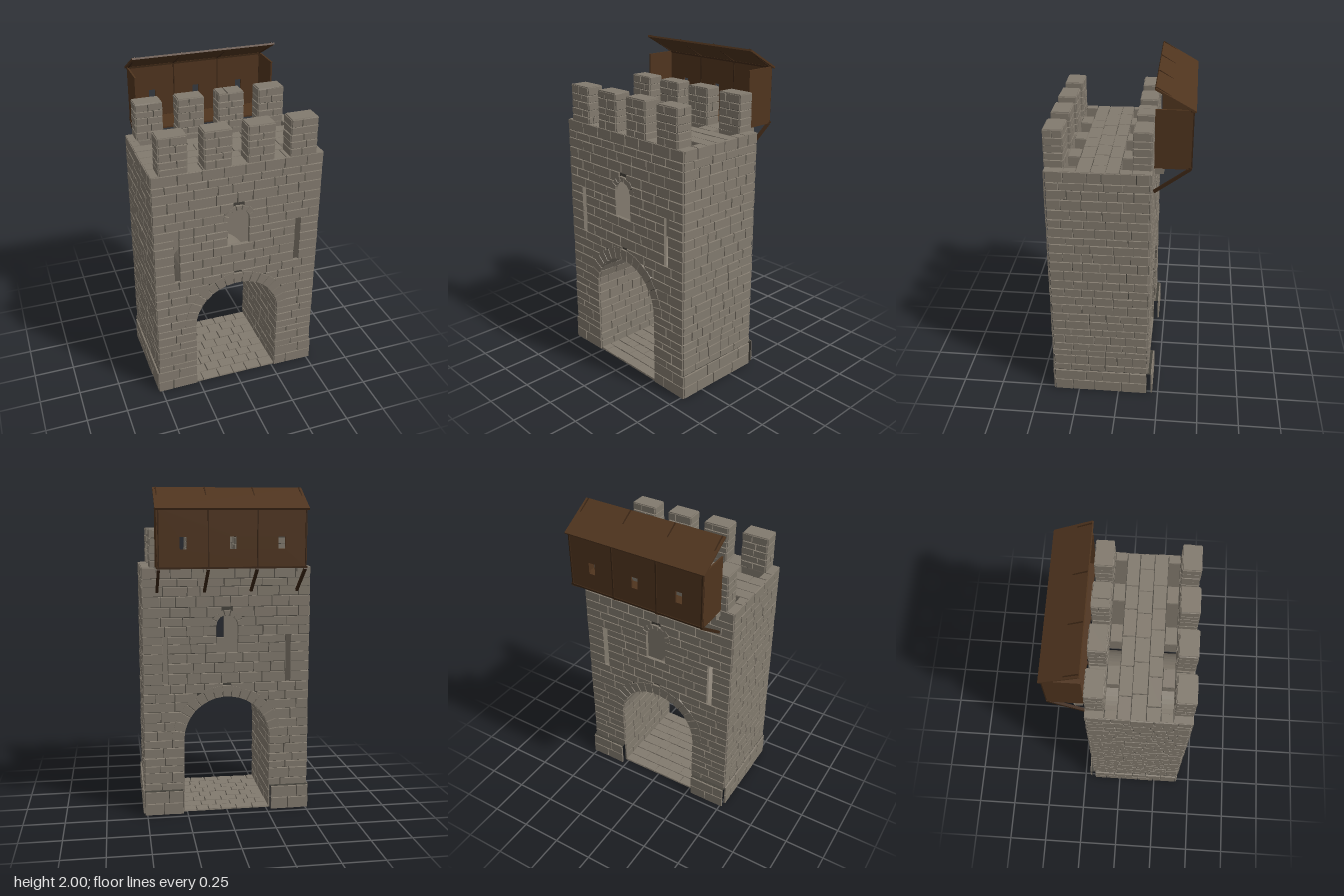
import * as THREE from 'three';

const V = (x, y, z) => new THREE.Vector3(x, y, z);
const UP = V(0, 1, 0);
let seed = 7;
const rnd = () => (seed = (seed * 16807) % 2147483647) / 2147483647;
const jit = (s) => (rnd() - 0.5) * s;
const mat = (name, color) => Object.assign(new THREE.MeshStandardMaterial({ color }), { name });

// Main dimensions
const FRONT = 0.4, BACK = -0.178, SIDE = 0.504, FOOT = 0.513, TOP = 1.53, BASE = 0.15, FOOT_BACK = -0.204;
const INNER = { x: 0.498, front: 0.392, back: -0.17 };
const SPRING = 0.47, R = 0.265, CORE_R = 0.275, SHELL_R = 0.283, RING = 0.34;
const WIN = { w: 0.065, sill: 1.01, spring: 1.175, ring: 0.105 };
const SLIT = { a: 0.362, b: 0.392, y0: 0.82, y1: 1.115 };
const MERLONS = [[-0.457, -0.31], [-0.198, -0.055], [0.055, 0.198], [0.31, 0.457]];

// One quad, corners counter-clockwise from outside
const quad = (out, a, b, c, d) => [a, b, c, a, c, d].forEach((p) => out.push(p.x, p.y, p.z));

// One bevelled stone standing on a quad
function stone(out, P, h = 0.01) {
  const n = P[1].clone().sub(P[0]).cross(P[3].clone().sub(P[0])).normalize();
  const inset = (g) => P.map((p, i) => {
    const to = (q) => q.clone().sub(p).normalize().multiplyScalar(g + jit(0.0024));
    return p.clone().add(to(P[(i + 1) % 4])).add(to(P[(i + 3) % 4]));
  });
  const b = inset(0.0013), t = inset(0.003);
  t.forEach((p) => p.addScaledVector(n, h));
  quad(out, ...t);
  for (let i = 0; i < 4; i++) quad(out, b[i], b[(i + 1) % 4], t[(i + 1) % 4], t[i]);
}

// Courses of stones on a mapped surface, skipping blocked intervals
function courses(out, map, rows, u0, u1, len = 0.12, blocked = () => []) {
  for (let r = 0; r + 1 < rows.length; r++) {
    const v0 = rows[r], v1 = rows[r + 1];
    let start = u0;
    for (const [a, b] of [...blocked((v0 + v1) / 2), [u1, u1]]) {
      const n = Math.max(1, Math.round((a - start) / len + jit(0.8)));
      const step = (a - start) / n, shift = n > 1 ? (r % 2 ? 0.22 : -0.22) * step : 0;
      const cut = Array.from({ length: n + 1 }, (_, i) =>
        i === 0 ? start : i === n ? a : start + i * step + shift + jit(0.4 * step));
      for (let i = 0; i < n; i++) {
        if (cut[i + 1] - cut[i] < 0.012) continue;
        stone(out, [map(cut[i], v0), map(cut[i + 1], v0), map(cut[i + 1], v1), map(cut[i], v1)], 0.008 + rnd() * 0.003);
      }
      start = b;
    }
  }
}

// Uneven row boundaries between fixed heights
function rowsBetween(keys, size) {
  const rows = [keys[0]];
  for (let k = 1; k < keys.length; k++) {
    const a = keys[k - 1], n = Math.max(1, Math.round((keys[k] - a) / size)), s = (keys[k] - a) / n;
    for (let i = 1; i < n; i++) rows.push(a + i * s + jit(0.3 * s));
    rows.push(keys[k]);
  }
  return rows;
}

// Round-headed outline, from bottom right over the top to bottom left
function archPoints(r, y0, spring, n) {
  const pts = [[r, y0]];
  for (let i = 0; i <= n; i++) pts.push([r * Math.cos(i / n * Math.PI), spring + r * Math.sin(i / n * Math.PI)]);
  return [...pts, [-r, y0]];
}
const rect = (x0, y0, x1, y1) => [[x1, y0], [x1, y1], [x0, y1], [x0, y0]];
const toVec2 = (pts) => pts.map((p) => new THREE.Vector2(...p));
const WINDOWS = [archPoints(WIN.w, WIN.sill, WIN.spring, 12),
  rect(SLIT.a, SLIT.y0, SLIT.b, SLIT.y1), rect(-SLIT.b, SLIT.y0, -SLIT.a, SLIT.y1)];

// Flat wall face with gate and windows cut out
function wallFace(half, r, y0) {
  const shape = new THREE.Shape(toVec2([[-half, y0], ...archPoints(r, y0, SPRING, 24).reverse(),
    [half, y0], [half, TOP - 0.008], [-half, TOP - 0.008]]));
  shape.holes = WINDOWS.map((w) => new THREE.Path(toVec2(w)));
  return new THREE.ShapeGeometry(shape);
}

// Inward-facing strip along an outline
function strip(out, pts, d0, d1, close = true, place = V) {
  for (let i = 0; i < pts.length - (close ? 0 : 1); i++) {
    const p = pts[i], q = pts[(i + 1) % pts.length];
    quad(out, place(...p, d0), place(...p, d1), place(...q, d1), place(...q, d0));
  }
}

function ring(out, map, r0, r1, spring, n) {
  for (let i = 0; i < n; i++) {
    const a0 = i / n * Math.PI, a1 = (i + 1) / n * Math.PI, o = r1 + jit(0.014);
    const at = (r, a) => map(r * Math.cos(a), spring + r * Math.sin(a));
    stone(out, [at(r0, a0), at(o, a0), at(o, a1), at(r0, a1)], 0.012);
  }
}

function wallOpenings(y) {
  const arc = (r, s) => Math.sqrt(Math.max(0, r * r - (y - s) ** 2));
  const c = y < SPRING ? R : y < 0.9 ? arc(RING - 0.018, SPRING)
    : y < WIN.sill ? 0 : y < WIN.spring ? WIN.w : arc(WIN.ring - 0.014, WIN.spring);
  const list = c > 0 ? [[-c, c]] : [];
  if (y > SLIT.y0 && y < SLIT.y1) return [[-SLIT.b, -SLIT.a], ...list, [SLIT.a, SLIT.b]];
  return list;
}

export function createModel() {
  const model = new THREE.Group();
  const stoneMat = mat('stone', 0x827a6e), mortar = mat('mortar', 0x45423b);
  mortar.side = THREE.DoubleSide;
  const wood = mat('wood', 0x4f341e), darkWood = mat('darkWood', 0x3a2514);
  const add = (name, geo, material, parent = model) => {
    const m = new THREE.Mesh(geo, material);
    m.name = name;
    parent.add(m);
    return m;
  };
  const addQuads = (name, arr, material) => {
    const g = new THREE.BufferGeometry();
    g.setAttribute('position', new THREE.Float32BufferAttribute(arr, 3));
    g.computeVertexNormals();
    return add(name, g, material);
  };

  // Front and back walls with gate, window and arrow slits
  const rows = rowsBetween([BASE, SPRING, SLIT.y0, WIN.sill, SLIT.y1, WIN.spring, TOP], 0.056);
  for (const front of [true, false]) {
    const name = front ? 'front' : 'back', y0 = front ? 0 : BASE;
    const [z, innerZ, turn] = front ? [FRONT, INNER.front, 0] : [BACK, INNER.back, Math.PI];
    const map = front ? (u, v) => V(u, v, FRONT) : (u, v) => V(-u, v, BACK);
    const core = add(name + 'WallMortar', wallFace(SIDE, CORE_R, y0), mortar);
    core.position.z = z;
    core.rotation.y = turn;
    const inner = add(name + 'WallInside', wallFace(INNER.x, SHELL_R, y0), stoneMat);
    inner.position.z = innerZ;
    inner.rotation.y = turn + Math.PI;
    const out = [], reveal = [];
    if (front) courses(out, map, [0, 0.075, BASE], -0.522, 0.522, 0.13, wallOpenings);
    courses(out, map, rows, -0.512, 0.512, 0.12, wallOpenings);
    ring(out, map, R, RING, SPRING, 17);
    ring(out, map, WIN.w, WIN.ring, WIN.spring, 7);
    addQuads(name + 'WallStones', out, stoneMat);
    WINDOWS.forEach((w) => strip(reveal, w, front ? innerZ : z - 0.006, front ? z + 0.006 : innerZ));
    addQuads(name + 'WindowReveals', reveal, stoneMat);
  }

  // Side walls, with slightly wider foot courses
  for (const s of [1, -1]) {
    const out = [], core = [], inside = [];
    const map = (x) => (u, v) => V(s * x, v, -s * u);
    const [u0, u1] = s > 0 ? [-FRONT, -BACK] : [BACK, FRONT];
    courses(out, map(FOOT), [0, 0.075, BASE], u0, u1, 0.13);
    courses(out, map(SIDE), rows, u0, u1, 0.105);
    const foot = map(FOOT), upper = map(SIDE);
    quad(core, foot(u0, 0), foot(u1, 0), foot(u1, BASE), foot(u0, BASE));
    quad(core, foot(u0, BASE), foot(u1, BASE), upper(u1, BASE), upper(u0, BASE));
    quad(core, upper(u0, BASE), upper(u1, BASE), upper(u1, TOP - 0.008), upper(u0, TOP - 0.008));
    const x = s * INNER.x, [za, zb] = s > 0 ? [INNER.back, INNER.front] : [INNER.front, INNER.back];
    quad(inside, V(x, 0, za), V(x, 0, zb), V(x, TOP - 0.02, zb), V(x, TOP - 0.02, za));
    addQuads('sideWallMortar', core, mortar);
    addQuads('sideWallStones', out, stoneMat);
    addQuads('sideWallInside', inside, stoneMat);
    // Offset foot blocks at the back
    const blocks = [], bed = [], back = (z) => (u, v) => V(-u, v, z);
    const [a, b] = s > 0 ? [0.275, 0.515] : [-0.515, -0.275];
    const outer = back(FOOT_BACK), wall = back(BACK);
    courses(blocks, outer, [0, 0.075, BASE], a, b, 0.13);
    quad(bed, outer(a, 0), outer(b, 0), outer(b, BASE), outer(a, BASE));
    quad(bed, outer(a, BASE), outer(b, BASE), wall(b, BASE), wall(a, BASE));
    addQuads('backFootStones', blocks, stoneMat);
    addQuads('backFootMortar', bed, mortar);
  }

  // Vaulted passage: lining, mortar bed and outer shell
  const arc = Math.PI * CORE_R, total = 2 * SPRING + arc;
  const vault = (u, v) => {
    if (v < SPRING) return V(CORE_R, v, u);
    if (v > SPRING + arc) return V(-CORE_R, total - v, u);
    const a = (v - SPRING) / CORE_R;
    return V(CORE_R * Math.cos(a), SPRING + CORE_R * Math.sin(a), u);
  };
  const lining = [], bed = [], shell = [];
  courses(lining, vault, rowsBetween([0, SPRING, SPRING + arc, total], 0.06), BACK, FRONT, 0.11);
  strip(bed, archPoints(CORE_R, 0, SPRING, 28), BACK, FRONT, false);
  strip(shell, archPoints(SHELL_R, 0, SPRING, 28).reverse(), BACK, FRONT, false);
  addQuads('passageStones', lining, stoneMat);
  addQuads('passageMortar', bed, mortar);
  addQuads('vaultShell', shell, stoneMat);

  // Paved passage floor
  const paving = [], ground = [], under = [], c = CORE_R;
  courses(paving, (u, v) => V(u, 0.001, -v), rowsBetween([-FRONT, -BACK], 0.075), -c, c, 0.09);
  quad(ground, V(-c, 0.001, FRONT), V(c, 0.001, FRONT), V(c, 0.001, BACK), V(-c, 0.001, BACK));
  quad(under, V(-c, 0, BACK), V(c, 0, BACK), V(c, 0, FRONT), V(-c, 0, FRONT));
  addQuads('floorStones', paving, stoneMat);
  addQuads('floorMortar', ground, mortar);
  addQuads('floorUnderside', under, stoneMat);

  // Roof deck with a drop hole behind each merlon
  const deckY = TOP - 0.009, deckStones = [], holeSides = [];
  const bands = [[-0.3, -0.23], [0.01, 0.08]];
  const holes = bands.flatMap(([a, b]) => MERLONS.map(([x0, x1]) => rect(x0, a, x1, b)));
  const deckShape = new THREE.Shape(toVec2(rect(-0.508, -FRONT, 0.508, -BACK)));
  deckShape.holes = holes.map((h) => new THREE.Path(toVec2(h)));
  const deck = add('deckMortar', new THREE.ShapeGeometry(deckShape), mortar);
  deck.rotation.x = -Math.PI / 2;
  deck.position.y = deckY;
  courses(deckStones, (u, v) => V(u, deckY, -v), [-0.407, -0.3, -0.23, -0.15, -0.065, 0.01, 0.08, 0.185],
    -0.511, 0.511, 0.16, (v) => (bands.some(([a, b]) => v > a && v < b) ? MERLONS : []));
  holes.forEach((h) => strip(holeSides, h, deckY - 0.05, deckY + 0.004, true, (a, b, d) => V(a, d, -b)));
  addQuads('deckStones', deckStones, stoneMat);
  addQuads('dropHoleSides', holeSides, stoneMat);

  // Merlons
  const capY = 1.745;
  for (const [z0, z1] of [[0.308, FRONT], [BACK, -0.09]]) {
    for (const [x0, x1] of MERLONS) {
      const w = x1 - x0, d = z1 - z0, mid = V((x0 + x1) / 2, 0, (z0 + z1) / 2), out = [];
      const body = add('merlonMortar', new THREE.BoxGeometry(w, capY - 1.51, d), mortar);
      body.position.set(mid.x, (capY + 1.51) / 2, mid.z);
      const levels = rowsBetween([TOP, capY + 0.006], 0.046);
      for (let k = 0; k < 4; k++) {
        const half = (k % 2 ? d : w) / 2 + 0.006, dist = (k % 2 ? w : d) / 2;
        courses(out, (u, v) => V(u, v, dist).applyAxisAngle(UP, k * Math.PI / 2).add(mid), levels, -half, half, 0.085);
      }
      courses(out, (u, v) => V(mid.x + u, capY, mid.z - v), [-d / 2 - 0.007, d / 2 + 0.007], -w / 2 - 0.007, w / 2 + 0.007, 0.14);
      addQuads('merlonStones', out, stoneMat);
    }
  }

  // Timber hoarding on the back
  const hoarding = new THREE.Group();
  hoarding.name = 'hoarding';
  model.add(hoarding);
  const box = (name, w, h, d, x, y, z, m) => {
    const b = add(name, new THREE.BoxGeometry(w, h, d), m, hoarding);
    b.position.set(x, y, z);
    return b;
  };
  const slope = (name, x, w, t, ya, za, yb, zb, m) => {
    const b = box(name, w, t, Math.hypot(yb - ya, zb - za), x, (ya + yb) / 2, (za + zb) / 2, m);
    b.rotation.x = -Math.atan2(yb - ya, zb - za);
  };
  const boards = new THREE.Shape(toVec2(rect(-0.43, 1.535, 0.43, 1.875)));
  boards.holes = [-0.283, -0.003, 0.281].map((x) => new THREE.Path(toVec2(rect(x - 0.02, 1.645, x + 0.02, 1.715))));
  add('hoardingBackWall', new THREE.ExtrudeGeometry(boards, { depth: 0.01, bevelEnabled: false }), wood, hoarding).position.z = -0.395;
  for (const s of [1, -1]) box('hoardingEndWall', 0.01, 0.34, 0.195, s * 0.427, 1.705, -0.293, wood);
  box('hoardingFloor', 0.85, 0.01, 0.19, 0, 1.54, -0.291, wood);
  for (const y of [1.54, 1.87]) box('hoardingRail', 0.866, 0.01, 0.02, 0, y, -0.392, darkWood);
  slope('hoardingRoof', 0, 0.88, 0.011, 1.868, -0.41, 1.989, -0.193, wood);
  for (const x of [-0.424, -0.143, 0.139, 0.422]) {
    box('hoardingPost', 0.007, 0.34, 0.02, x, 1.705, -0.392, darkWood);
    slope('hoardingRafter', x, 0.007, 0.012, 1.872, -0.39, 1.9915, -0.196, darkWood);
    slope('hoardingStrut', x, 0.016, 0.016, 1.535, -0.395, 1.388, -0.195, darkWood);
    box('hoardingCorbel', 0.02, 0.03, 0.05, x, 1.518, -0.225, stoneMat);
  }
  return model;
}
